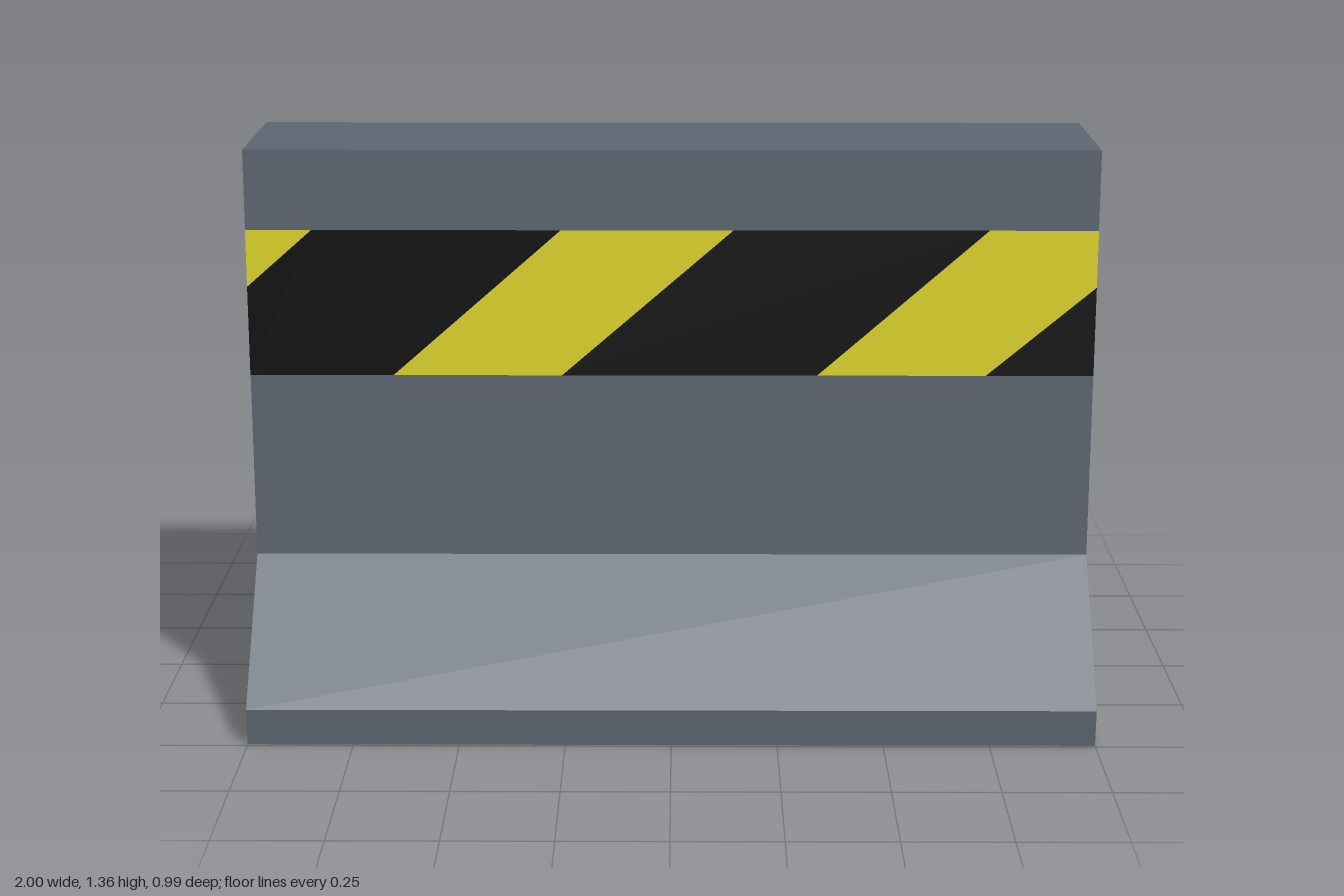
import * as THREE from 'three';

const concrete = new THREE.MeshStandardMaterial({ name: 'concrete grey', color: 0x5e6772 });
const yellow = new THREE.MeshStandardMaterial({ name: 'warning yellow', color: 0xe0d628 });
const black = new THREE.MeshStandardMaterial({ name: 'warning black', color: 0x0f0f0f });

// Half profile (z, y) from the ground to the top
const PROFILE = [[0.493, 0], [0.493, 0.088], [0.24, 0.387], [0.181, 1.363]];
const BAND_LOW = 0.828, BAND_HIGH = 1.175;

const toShape = (pts) => new THREE.Shape(pts.map(([x, y]) => new THREE.Vector2(x, y)));

// Depth of the steep upper wall at height y
function wallZ(y) {
  const [[z0, y0], [z1, y1]] = PROFILE.slice(2);
  return z0 + (z1 - z0) * (y - y0) / (y1 - y0);
}

// Lay a flat outline on the sloping wall, just proud of the surface
function wallPatch(pts) {
  const geo = new THREE.ShapeGeometry(toShape(pts));
  const pos = geo.attributes.position;
  for (let i = 0; i < pos.count; i++) pos.setZ(i, wallZ(pos.getY(i)) + 0.002);
  geo.computeVertexNormals();
  return geo;
}

export function createModel() {
  const group = new THREE.Group();
  group.name = 'concreteBarrier';

  // Barrier body: mirrored profile extruded along x
  const outline = [...PROFILE, ...PROFILE.map(([z, y]) => [-z, y]).reverse()];
  const bodyGeo = new THREE.ExtrudeGeometry(toShape(outline), { depth: 2, bevelEnabled: false });
  bodyGeo.translate(0, 0, -1).rotateY(Math.PI / 2);
  const body = new THREE.Mesh(bodyGeo, concrete);
  body.name = 'barrierBody';
  group.add(body);

  // Slanted warning stripes, cut off at the barrier ends
  const L = BAND_LOW, H = BAND_HIGH;
  const stripes = [
    ['yellowStripe', yellow, [[-1, 1.04], [-0.845, H], [-1, H]]],
    ['blackStripe', black, [[-1, L], [-0.66, L], [-0.26, H], [-0.845, H], [-1, 1.04]]],
    ['yellowStripe', yellow, [[-0.66, L], [-0.26, L], [0.145, H], [-0.26, H]]],
    ['blackStripe', black, [[-0.26, L], [0.345, L], [0.745, H], [0.145, H]]],
    ['yellowStripe', yellow, [[0.345, L], [0.745, L], [1, 1.04], [1, H], [0.745, H]]],
    ['blackStripe', black, [[0.745, L], [1, L], [1, 1.04]]],
  ];

  // The same band on the front and the back
  ['frontBand', 'backBand'].forEach((name, side) => {
    const band = new THREE.Group();
    band.name = name;
    band.rotation.y = side * Math.PI;
    for (const [part, material, pts] of stripes) {
      const mesh = new THREE.Mesh(wallPatch(pts), material);
      mesh.name = part;
      band.add(mesh);
    }
    group.add(band);
  });

  return group;
}
